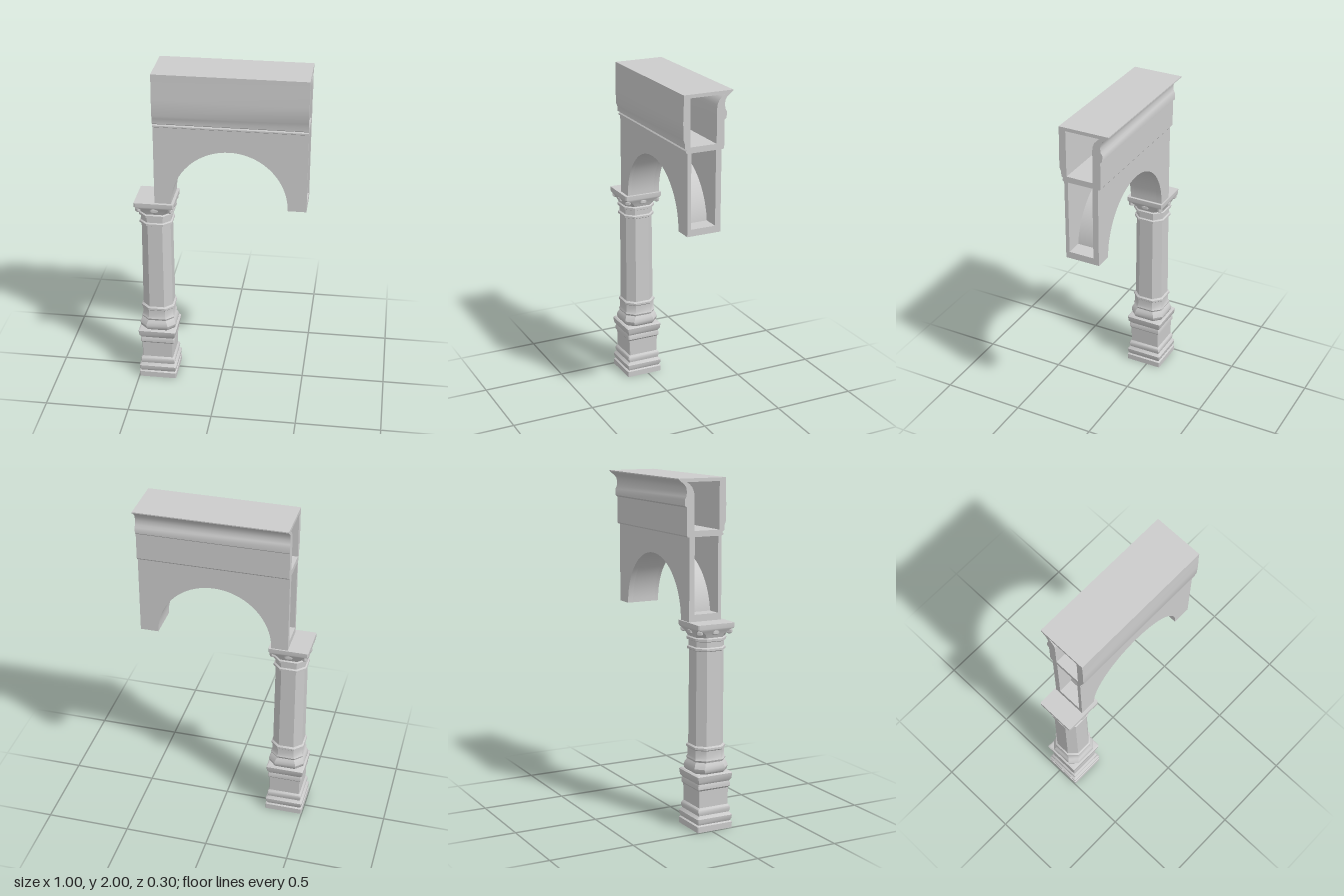
import * as THREE from 'three';
import { toCreasedNormals } from 'three/addons/utils/BufferGeometryUtils.js';

const material = new THREE.MeshStandardMaterial({ color: 0xcccccc, side: THREE.DoubleSide });

const X0 = -0.38, X1 = 0.5;              // ends of the arch section
const ARCH = { x: 0.055, y: 1.2, rx: 0.338, ry: 0.345 };
const COLUMN = { x: -0.384, z: 0.024 };

function add(parent, name, geometry, crease = 0.6) {
  const mesh = new THREE.Mesh(toCreasedNormals(geometry, crease), material);
  mesh.name = name;
  parent.add(mesh);
  return mesh;
}

const points = (list) => list.map(([x, y]) => new THREE.Vector2(x, y));

// Points along the arch curve from the right foot to the left foot
function archCurve(grow = 0, n = 40) {
  const out = [];
  for (let i = 0; i <= n; i++) {
    const a = Math.PI * i / n;
    out.push([ARCH.x + (ARCH.rx + grow) * Math.cos(a), ARCH.y + (ARCH.ry + grow) * Math.sin(a)]);
  }
  return out;
}

// Extrude an outline in x, y between two z values
function slab(outline, z0, z1) {
  const geometry = new THREE.ExtrudeGeometry(new THREE.Shape(points(outline)),
    { depth: z1 - z0, bevelEnabled: false });
  return geometry.translate(0, 0, z0);
}

// Stack of chamfered squares; each row is [y, half width, chamfer share]
function chamferedStack(rows) {
  const position = [], index = [];
  for (const [y, h, share] of rows) {
    const k = h * (1 - share);
    const ring = [[h, -k], [h, k], [k, h], [-k, h], [-h, k], [-h, -k], [-k, -h], [k, -h]];
    for (const [x, z] of ring) position.push(x, y, z);
  }
  for (let r = 0; r < rows.length - 1; r++) {
    for (let i = 0; i < 8; i++) {
      const a = r * 8 + i, b = r * 8 + (i + 1) % 8;
      index.push(a, a + 8, b, b, a + 8, b + 8);
    }
  }
  const top = (rows.length - 1) * 8;
  for (let i = 1; i < 7; i++) {
    index.push(0, i, i + 1, top, top + i + 1, top + i);
  }
  const geometry = new THREE.BufferGeometry();
  geometry.setAttribute('position', new THREE.Float32BufferAttribute(position, 3));
  geometry.setIndex(index);
  return geometry;
}

function createColumn() {
  const column = new THREE.Group();
  column.name = 'column';

  // Square pedestal with stepped mouldings
  add(column, 'pedestal', chamferedStack([
    [0, 0.113, 0.04], [0.035, 0.114, 0.04], [0.042, 0.105, 0.04], [0.055, 0.112, 0.04],
    [0.078, 0.114, 0.04], [0.095, 0.101, 0.04], [0.115, 0.106, 0.04], [0.13, 0.103, 0.04],
    [0.14, 0.094, 0.04], [0.24, 0.096, 0.04], [0.25, 0.104, 0.04], [0.268, 0.104, 0.04],
    [0.28, 0.1, 0.04], [0.295, 0.11, 0.04], [0.328, 0.114, 0.04], [0.335, 0.106, 0.04],
  ]));

  // Eight-sided base
  add(column, 'columnBase', chamferedStack([
    [0.333, 0.095, 0.4], [0.345, 0.105, 0.4], [0.365, 0.109, 0.4], [0.385, 0.103, 0.42],
    [0.4, 0.094, 0.45], [0.412, 0.099, 0.45], [0.425, 0.093, 0.48], [0.468, 0.093, 0.48],
    [0.474, 0.099, 0.48], [0.486, 0.099, 0.48], [0.494, 0.09, 0.48],
  ]));

  // Shaft
  add(column, 'shaft', chamferedStack([[0.48, 0.09, 0.5], [1.1, 0.086, 0.5]]));

  // Neck rings and capital, opening out to a square top
  add(column, 'capital', chamferedStack([
    [1.04, 0.086, 0.5], [1.046, 0.097, 0.48], [1.058, 0.097, 0.48], [1.064, 0.089, 0.48],
    [1.095, 0.089, 0.48], [1.1, 0.1, 0.48], [1.114, 0.1, 0.48], [1.12, 0.092, 0.46],
    [1.14, 0.1, 0.4], [1.16, 0.11, 0.26], [1.17, 0.116, 0.08],
    [1.175, 0.117, 0.05], [1.2, 0.117, 0.05],
  ]));

  // Leaf curls under the corners and the middle of each side of the capital
  for (let i = 0; i < 8; i++) {
    const a = i * Math.PI / 4, corner = i % 2 === 1;
    const r = corner ? 0.134 : 0.1;
    const leaf = add(column, 'capitalLeaf', new THREE.SphereGeometry(0.018, 12, 8), Math.PI);
    leaf.scale.set(1, 0.9, corner ? 1 : 1.5);
    leaf.position.set(r * Math.cos(a), 1.152, r * Math.sin(a));
    leaf.rotation.y = -a;
  }

  column.position.set(COLUMN.x, 0, COLUMN.z);
  return column;
}

function createArch() {
  const arch = new THREE.Group();
  arch.name = 'arch';
  const front = 0.122, frontInner = 0.1, backInner = -0.05, back = -0.084;

  // Front and back walls cut by the arch
  const wall = [[X0, 1.69], [X0, 1.2], ...archCurve().reverse(), [X1, 1.2], [X1, 1.69]];
  add(arch, 'frontWall', slab(wall, frontInner, front));
  add(arch, 'backWall', slab(wall, back, backInner));

  // Curved underside of the arch
  const band = [...archCurve(), ...archCurve(0.012).reverse()];
  add(arch, 'archSoffit', slab(band, backInner, frontInner));

  // Feet closing the bottom of the hollow piers
  for (const [a, b] of [[X0, ARCH.x - ARCH.rx], [ARCH.x + ARCH.rx, X1]]) {
    add(arch, 'pierFoot', new THREE.BoxGeometry(b - a, 0.04, frontInner - backInner)
      .translate((a + b) / 2, 1.22, (frontInner + backInner) / 2));
  }
  return arch;
}

// Hollow upper beam with a cornice on its back; the profile is [-z, y]
function createBeam() {
  const shape = new THREE.Shape(points([
    [-0.122, 1.676], [0.094, 1.676], [0.1, 1.684], [0.1, 1.84], [0.112, 1.85], [0.113, 1.885],
    [0.104, 1.9], [0.1, 1.925], [0.104, 1.95], [0.116, 1.968], [0.135, 1.982], [0.15, 1.994],
    [0.15, 2], [-0.147, 2], [-0.147, 1.95], [-0.15, 1.85], [-0.148, 1.755], [-0.14, 1.735],
    [-0.138, 1.705], [-0.126, 1.697], [-0.132, 1.69], [-0.132, 1.682],
  ]));
  shape.holes.push(new THREE.Path(points([
    [-0.107, 1.71], [-0.107, 1.98], [0.1, 1.98], [0.082, 1.968], [0.066, 1.95],
    [0.055, 1.925], [0.053, 1.9], [0.053, 1.71],
  ])));
  return new THREE.ExtrudeGeometry(shape, { depth: X1 - X0, bevelEnabled: false })
    .rotateY(Math.PI / 2).translate(X0, 0, 0);
}

export function createModel() {
  const model = new THREE.Group();
  model.name = 'archSection';
  model.add(createColumn(), createArch());
  add(model, 'corniceBeam', createBeam());
  return model;
}
